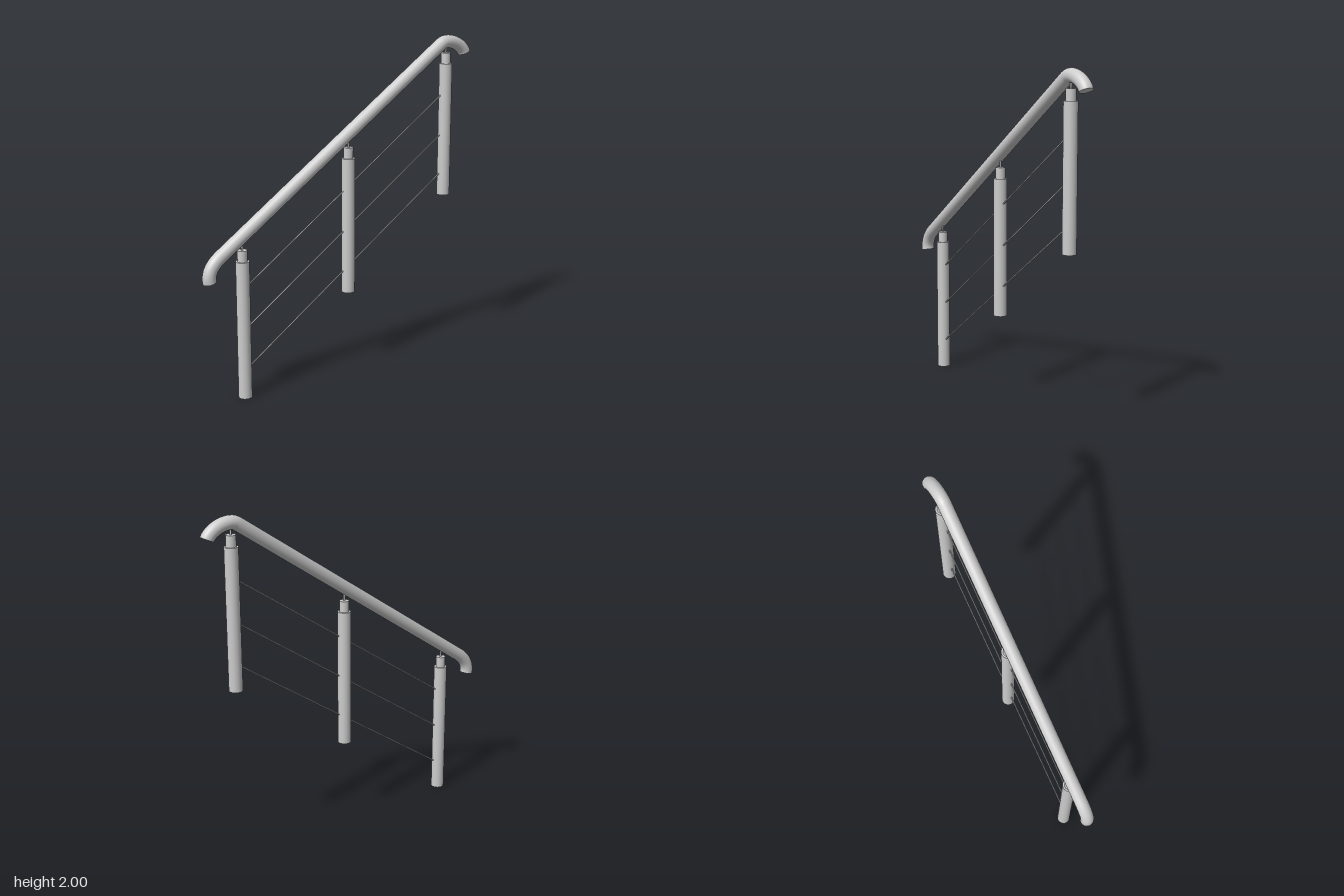
import * as THREE from 'three';

const R = 0.04; // radius of handrail and posts
const RISE = 0.5; // height gained from post to post
const POST_Z = [0.715, -0.032, -0.778];

const material = new THREE.MeshStandardMaterial({ color: 0xcccccc, side: THREE.DoubleSide });
const v = (z, y) => new THREE.Vector3(0, y, z);

function add(parent, name, geometry) {
  const mesh = new THREE.Mesh(geometry, material);
  mesh.name = name;
  parent.add(mesh);
  return mesh;
}

// Upright cylinder between two heights
function upright(parent, name, radius, y0, y1, sides) {
  add(parent, name, new THREE.CylinderGeometry(radius, radius, y1 - y0, sides)).position.y = (y0 + y1) / 2;
}

// Round bar between two points
function bar(parent, name, a, b, radius) {
  const dir = b.clone().sub(a);
  const mesh = add(parent, name, new THREE.CylinderGeometry(radius, radius, dir.length(), 10));
  mesh.position.copy(a).add(b).multiplyScalar(0.5);
  mesh.quaternion.setFromUnitVectors(new THREE.Vector3(0, 1, 0), dir.normalize());
}

export function createModel() {
  const model = new THREE.Group();
  model.name = 'stairRailing';

  // Posts, each with a collar and a thin pin carrying the handrail
  POST_Z.forEach((z, i) => {
    const post = new THREE.Group();
    post.name = 'post' + (i + 1);
    post.position.set(0, i * RISE, z);
    upright(post, 'postTube', R, 0, 0.83, 32);
    upright(post, 'postCollar', 0.029, 0.83, 0.896, 32);
    upright(post, 'railPin', 0.006, 0.89, 0.95, 12);
    model.add(post);
  });

  // Sloping wires between neighbouring posts
  for (let i = 0; i < 2; i++) {
    for (const y of [0.161, 0.409, 0.658]) {
      bar(model, 'wire', v(POST_Z[i], y + i * RISE), v(POST_Z[i + 1], y + (i + 1) * RISE), 0.004);
    }
  }

  // Handrail: straight slope with both ends bent downwards
  const path = new THREE.CurvePath();
  path.add(new THREE.CubicBezierCurve3(v(0.931, 0.744), v(0.944, 0.803), v(0.904, 0.851), v(0.854, 0.884)));
  path.add(new THREE.LineCurve3(v(0.854, 0.884), v(-0.738, 1.952)));
  path.add(new THREE.CubicBezierCurve3(v(-0.738, 1.952), v(-0.788, 1.985), v(-0.9, 1.944), v(-0.924, 1.889)));
  add(model, 'handrail', new THREE.TubeGeometry(path, 160, R, 32));

  // Flat caps on the handrail ends
  for (const t of [0, 1]) {
    const cap = add(model, 'handrailCap', new THREE.CircleGeometry(R, 32));
    const outward = path.getTangentAt(t).multiplyScalar(t ? 1 : -1);
    cap.position.copy(path.getPointAt(t));
    cap.quaternion.setFromUnitVectors(new THREE.Vector3(0, 0, 1), outward);
  }
  return model;
}
